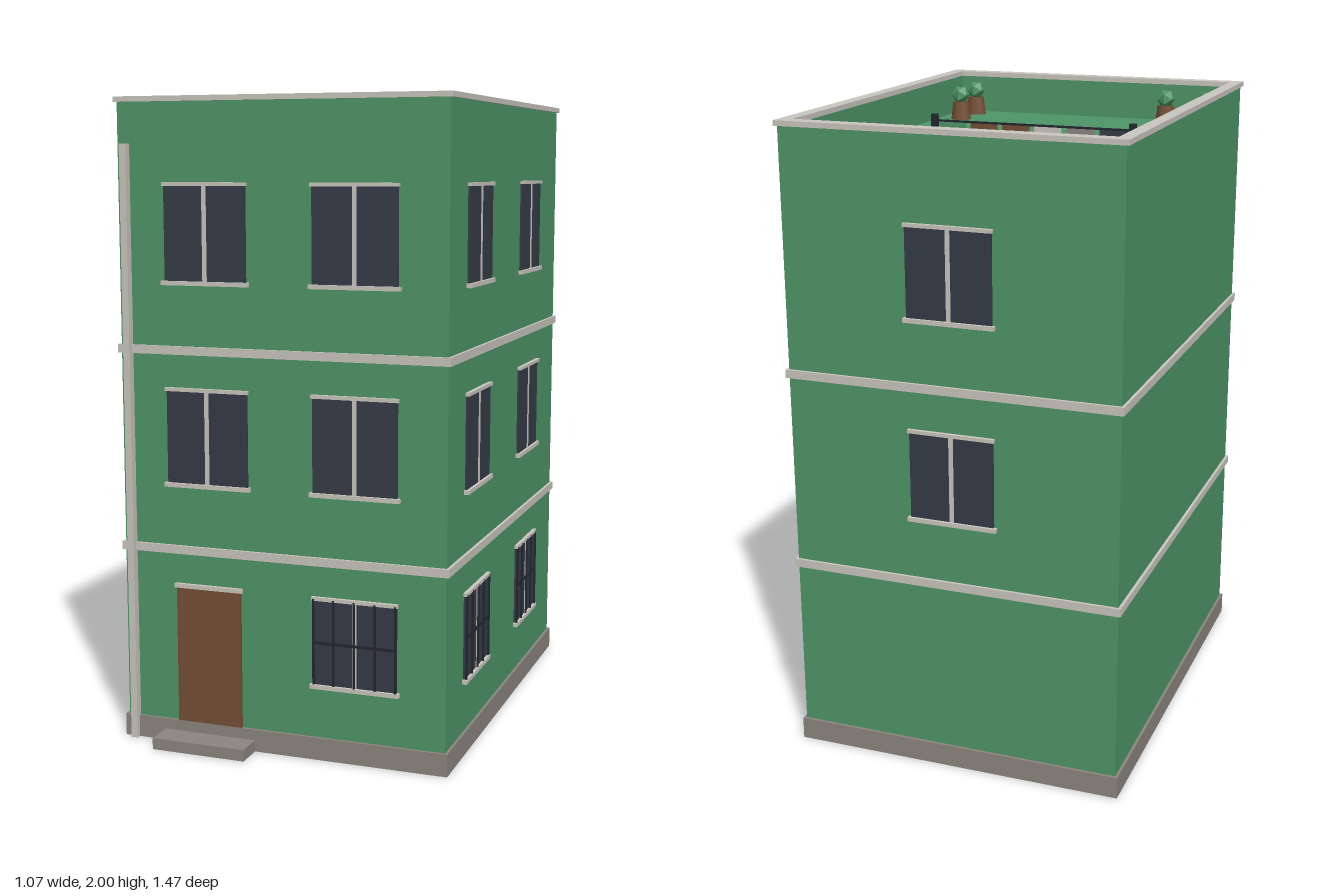
import * as THREE from 'three';

const mat = (name, color) => {
  const m = new THREE.MeshStandardMaterial({ color });
  m.name = name;
  return m;
};

export function createModel() {
  const green = mat('green wall', 0x4f9668);
  const trim = mat('pale trim', 0xcbc7c0);
  const stone = mat('grey stone', 0x8c867f);
  const wood = mat('brown wood', 0x744f35);
  const glass = mat('dark glass', 0x363b47);
  const iron = mat('dark iron', 0x22262e);

  const model = new THREE.Group();
  model.name = 'house';

  // Box given by its limits on each axis
  const box = (parent, name, m, [x0, x1], [y0, y1], [z0, z1]) => {
    const mesh = new THREE.Mesh(new THREE.BoxGeometry(x1 - x0, y1 - y0, z1 - z0), m);
    mesh.position.set((x0 + x1) / 2, (y0 + y1) / 2, (z0 + z1) / 2);
    mesh.name = name;
    parent.add(mesh);
    return mesh;
  };

  const CX = -0.003, CZ = -0.042, HW = 0.523, HD = 0.679;
  const ROOF = 1.86;
  const spanX = (h) => [CX - h, CX + h];
  const spanZ = (h) => [CZ - h, CZ + h];

  // Rectangular ring lying flat, for parapet and coping
  const ring = (name, m, hw, hd, iw, id, y0, y1) => {
    const rect = (T, w, d) => new T([
      new THREE.Vector2(-w, -d), new THREE.Vector2(w, -d),
      new THREE.Vector2(w, d), new THREE.Vector2(-w, d),
    ]);
    const shape = rect(THREE.Shape, hw, hd);
    shape.holes.push(rect(THREE.Path, iw, id));
    const geo = new THREE.ExtrudeGeometry(shape, { depth: y1 - y0, bevelEnabled: false });
    geo.rotateX(-Math.PI / 2);
    const mesh = new THREE.Mesh(geo, m);
    mesh.position.set(CX, y0, CZ);
    mesh.name = name;
    model.add(mesh);
  };

  // Building shell
  box(model, 'walls', green, spanX(HW), [0.03, ROOF], spanZ(HD));
  ring('parapet', green, HW, HD, 0.496, 0.652, ROOF, 1.985);
  ring('coping', trim, 0.532, 0.688, 0.491, 0.643, 1.984, 2);
  box(model, 'plinth', stone, spanX(0.532), [0, 0.07], spanZ(0.688));
  for (const y of [0.62, 1.24]) {
    box(model, 'floorBand', trim, spanX(0.532), [y - 0.013, y + 0.013], spanZ(0.688));
  }

  // Window built facing +z around its centre line, then turned onto its wall
  const addWindow = (x, z, turn, y0, y1, barred) => {
    const g = new THREE.Group();
    g.name = barred ? 'barredWindow' : 'window';
    box(g, 'pane', glass, [-0.133, 0.133], [y0, y1], [-0.003, 0.006]);
    box(g, 'mullion', trim, [-0.007, 0.007], [y0, y1], [-0.003, 0.008]);
    box(g, 'sill', trim, [-0.142, 0.142], [y0 - 0.008, y0 + 0.005], [-0.003, 0.015]);
    box(g, 'lintel', trim, [-0.137, 0.137], [y1 - 0.005, y1 + 0.006], [-0.003, 0.012]);
    if (barred) {
      for (const bx of [-0.13, -0.066, 0, 0.066, 0.13]) {
        box(g, 'bar', iron, [bx - 0.003, bx + 0.003], [y0, y1], [0.007, 0.013]);
      }
      box(g, 'crossBar', iron, [-0.133, 0.133], [0.367, 0.375], [0.007, 0.013]);
    }
    g.position.set(x, 0, z);
    g.rotation.y = turn;
    model.add(g);
  };

  const front = CZ + HD, back = CZ - HD, side = CX + HW;
  const floors = [[0.234, 0.506], [0.826, 1.12], [1.446, 1.74]];
  floors.forEach(([y0, y1], i) => {
    if (i > 0) addWindow(-0.24, front, 0, y0, y1, false);
    addWindow(0.236, front, 0, y0, y1, i === 0);
    for (const z of [0.317, -0.325]) addWindow(side, z, Math.PI / 2, y0, y1, i === 0);
    if (i > 0) addWindow(-0.006, back, Math.PI, y0, y1 - 0.016, false);
  });

  // Entrance
  box(model, 'door', wood, [-0.349, -0.134], [0.07, 0.5], [front - 0.01, front + 0.008]);
  box(model, 'doorLintel', trim, [-0.355, -0.128], [0.5, 0.513], [front - 0.01, front + 0.012]);
  box(model, 'doorStep', stone, [-0.397, -0.09], [0, 0.036], [front, 0.735]);

  // Drainpipe
  box(model, 'drainpipe', trim, [-0.509, -0.487], [0, ROOF], [front, front + 0.025]);

  // Clothes line with washing
  const line = new THREE.Group();
  line.name = 'clothesLine';
  model.add(line);
  for (const x of [-0.434, 0.187]) {
    box(line, 'post', iron, [x - 0.009, x + 0.009], [ROOF, 1.985], [-0.361, -0.343]);
  }
  box(line, 'cord', iron, [-0.434, 0.187], [1.963, 1.969], [-0.355, -0.349]);
  const washing = [[glass, 0.085], [stone, 0.09], [trim, 0.08], [wood, 0.09], [wood, 0.075], [green, 0.09]];
  washing.forEach(([m, drop], i) => {
    const x = -0.376 + i * 0.101;
    box(line, 'cloth', m, [x - 0.042, x + 0.042], [1.966 - drop, 1.966], [-0.354, -0.35]);
  });

  // Potted plants
  for (const [x, z] of [[-0.434, 0.541], [-0.29, 0.541], [0.412, 0.541], [0.412, 0.398]]) {
    const plant = new THREE.Group();
    plant.name = 'pottedPlant';
    const pot = new THREE.Mesh(new THREE.CylinderGeometry(0.029, 0.037, 0.06, 8), wood);
    pot.position.y = 0.03;
    pot.name = 'pot';
    const leaves = new THREE.Mesh(new THREE.IcosahedronGeometry(0.032, 0), green);
    leaves.position.y = 0.083;
    leaves.name = 'foliage';
    plant.add(pot, leaves);
    plant.position.set(x, ROOF, z);
    model.add(plant);
  }

  return model;
}
